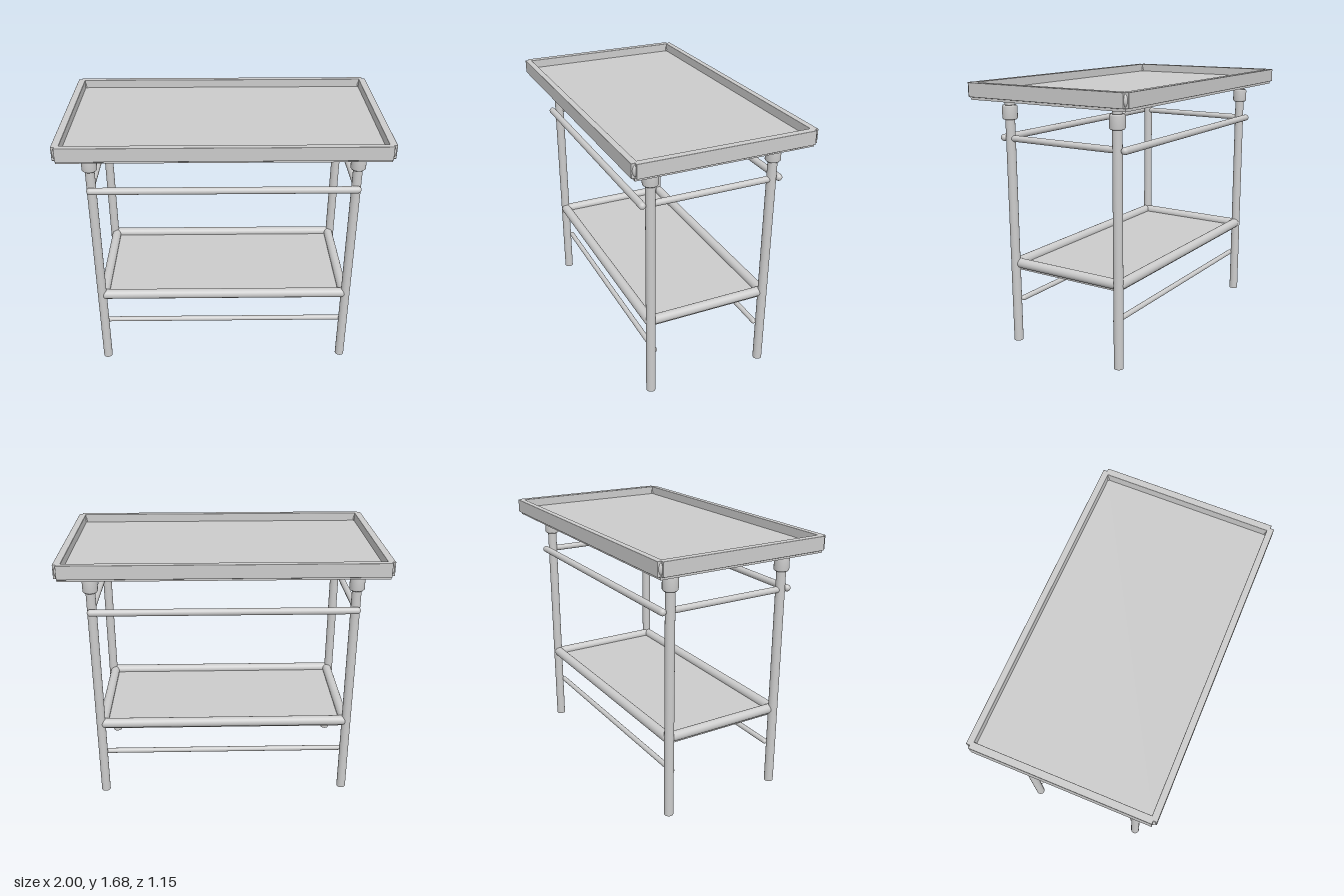
import * as THREE from 'three';
import { RoundedBoxGeometry } from 'three/addons/geometries/RoundedBoxGeometry.js';

const grey = new THREE.MeshStandardMaterial({ color: 0xcccccc });

export function createModel() {
  const model = new THREE.Group();

  const add = (name, geometry, x, y, z) => {
    const mesh = new THREE.Mesh(geometry, grey);
    mesh.name = name;
    mesh.position.set(x, y, z);
    model.add(mesh);
    return mesh;
  };

  // Round-ended bar of total length, lying along x or z
  const bar = (name, axis, radius, length, x, y, z) => {
    const g = new THREE.CapsuleGeometry(radius, length - 2 * radius, 8, 24);
    if (axis === 'x') g.rotateZ(Math.PI / 2);
    else g.rotateX(Math.PI / 2);
    return add(name, g, x, y, z);
  };

  const legX = 0.816, legZ = 0.394;

  // Table top: floor panel inside a raised rim
  add('topPanel', new THREE.BoxGeometry(1.96, 0.05, 1.11), 0, 1.605, 0);
  for (const s of [-1, 1]) {
    add('topLongRim', new RoundedBoxGeometry(1.96, 0.087, 0.04, 3, 0.003), 0, 1.641, s * 0.555);
    add('topShortRim', new RoundedBoxGeometry(0.045, 0.087, 1.104, 3, 0.003), s * 0.9775, 1.641, 0);
    // Rounded corner joints between the rims
    for (const t of [-1, 1]) {
      const g = new THREE.SphereGeometry(0.025, 20, 14).scale(1, 1.6, 1);
      add('topCorner', g, s * 0.97, 1.641, t * 0.546);
    }
  }

  // Legs with chamfered collars under the top
  const collar = [[0.029, 1.455], [0.04, 1.455], [0.047, 1.463], [0.047, 1.533], [0.042, 1.543], [0.029, 1.543]];
  const collarPoints = collar.map(([r, y]) => new THREE.Vector2(r, y));
  for (const sx of [-1, 1]) {
    for (const sz of [-1, 1]) {
      add('leg', new THREE.CylinderGeometry(0.0295, 0.0295, 1.567, 32), sx * legX, 0.7835, sz * legZ);
      add('legCollar', new THREE.LatheGeometry(collarPoints, 32), sx * legX, 0, sz * legZ);
    }
  }

  // Lower shelf: flat panel framed by round tubes
  add('shelfPanel', new THREE.BoxGeometry(1.6, 0.035, 0.78), 0, 0.5, 0);

  for (const s of [-1, 1]) {
    bar('shelfLongTube', 'x', 0.032, 1.64, 0, 0.527, s * 0.395);
    bar('shelfShortTube', 'z', 0.031, 0.8, s * 0.8, 0.527, 0);
    // Upper rails: long ones outside the legs, short ones between them
    bar('upperLongRail', 'x', 0.022, 1.68, 0, 1.337, s * 0.445);
    bar('upperShortRail', 'z', 0.02, 0.8, s * legX, 1.337, 0);
    // Thin stretchers near the floor
    bar('lowerStretcher', 'x', 0.017, 1.62, 0, 0.288, s * 0.36);
  }

  return model;
}
